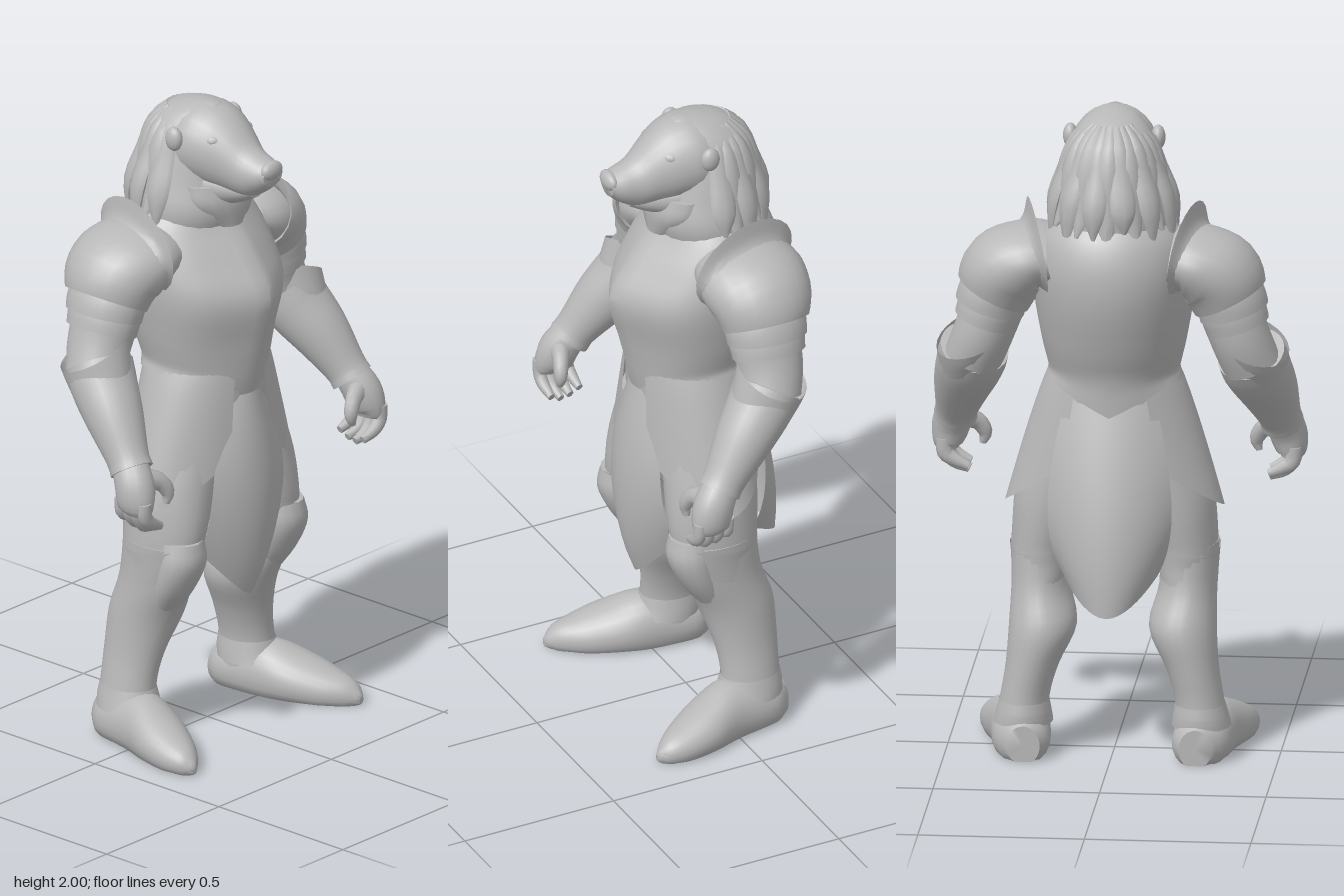
import * as THREE from 'three';
import { mergeVertices, toCreasedNormals } from 'three/addons/utils/BufferGeometryUtils.js';

const V = (x, y, z) => new THREE.Vector3(x, y, z);
const UP = V(0, 1, 0), DOWN = V(0, -1, 0), FWD = V(0, 0, 1);

// Grid surface from fn(i, j) -> Vector3, smooth with creases
function grid(rows, cols, fn, crease = 0.9) {
  const pos = [], idx = [];
  for (let i = 0; i <= rows; i++)
    for (let j = 0; j <= cols; j++) pos.push(...fn(i, j).toArray());
  for (let i = 0; i < rows; i++)
    for (let j = 0; j < cols; j++) {
      const a = i * (cols + 1) + j, b = a + cols + 1;
      idx.push(a, b, a + 1, a + 1, b, b + 1);
    }
  const g = new THREE.BufferGeometry();
  g.setAttribute('position', new THREE.Float32BufferAttribute(pos, 3));
  g.setIndex(idx);
  return toCreasedNormals(mergeVertices(g, 1e-5), crease);
}

// Tube through sections [x, y, z, halfWidth, halfDepth]; dir fixes the ring plane
function loft(secs, { dir = null, ref = FWD, n = 24, cap = true, sub = 4, warp = null } = {}) {
  const mid = new THREE.CatmullRomCurve3(secs.map(s => V(s[0], s[1], s[2])), false, 'catmullrom');
  const rad = new THREE.CatmullRomCurve3(secs.map(s => V(s[3], s[4], 0)), false, 'catmullrom');
  const steps = (secs.length - 1) * sub, extra = cap ? 1 : 0;
  return grid(steps + 2 * extra, n, (i, j) => {
    const k = THREE.MathUtils.clamp(i - extra, 0, steps), s = k / steps;
    const c = mid.getPoint(s), r = rad.getPoint(s);
    const t = dir ? dir.clone() : mid.getTangent(s);
    const u = t.clone().cross(ref).normalize(), v = u.clone().cross(t).normalize();
    const f = cap && (i === 0 || i === steps + 2) ? 0 : 1;
    const a = ((j % n) / n) * Math.PI * 2;
    const p = c.addScaledVector(u, f * r.x * Math.cos(a)).addScaledVector(v, f * r.y * Math.sin(a));
    return warp ? warp(p, s, a) : p;
  });
}

export function createModel() {
  const model = new THREE.Group();
  model.name = 'armouredBear';
  const grey = new THREE.MeshStandardMaterial({ color: 0xb8b8b8, side: THREE.DoubleSide });
  grey.name = 'stone grey';
  const add = (name, geo, parent = model) => {
    const m = new THREE.Mesh(geo, grey);
    m.name = name;
    parent.add(m);
  };
  const ball = (name, p, s, parent) => {
    const g = new THREE.SphereGeometry(1, 16, 12).scale(...s).translate(...p);
    add(name, g, parent);
  };

  // Breastplate with a keeled front and pointed lower edge, and the hips beneath it
  add('breastplate', loft([
    [0, 1.12, -0.01, 0.205, 0.182], [0, 1.19, 0, 0.198, 0.2], [0, 1.28, -0.005, 0.217, 0.23],
    [0, 1.42, -0.01, 0.24, 0.266], [0, 1.53, -0.045, 0.24, 0.238], [0, 1.62, -0.07, 0.215, 0.19],
    [0, 1.69, -0.075, 0.16, 0.14]], {
    dir: UP, n: 36, warp: (p, s, a) => {
      const low = Math.max(0, 1 - s * 5);
      p.y += low * (0.09 * Math.min(1, Math.abs(p.x) / 0.18) - 0.045);
      if (p.z > 0) p.z -= 0.03 * Math.sin(Math.PI * Math.abs(Math.cos(a))) * Math.sin(Math.PI * s);
      return p;
    }
  }));
  add('hips', loft([[0, 1.22, 0, 0.185, 0.18], [0, 1.1, 0, 0.2, 0.174], [0, 0.98, 0, 0.22, 0.165],
    [0, 0.88, 0, 0.225, 0.15], [0, 0.76, 0, 0.14, 0.1]], { dir: DOWN }));

  // Hanging cloth, front and back
  add('frontCloth', grid(14, 12, (i, j) => {
    const t = i / 14, s = j / 6 - 1, a = Math.abs(s);
    return V(s * (0.1 + 0.062 * Math.sin(t * 2)), 1.1 - t * (0.655 - 0.16 * a ** 1.3),
      0.18 + 0.045 * Math.sin(t * 2.9) - 0.02 * t ** 8 - 0.06 * s * s);
  }));
  add('backCloth', grid(14, 16, (i, j) => {
    const t = i / 14, s = 1 - j / 8, a = Math.abs(s);
    return V(s * (0.13 + 0.06 * Math.sin(t * 2.2) - 0.035 * t ** 6), 1.14 - t * (0.66 - 0.1 * a ** 1.8),
      -0.16 - 0.13 * Math.sin(t * 1.65) + (0.03 + 0.11 * t) * s * s);
  }));

  // Head, muzzle, jaw and mane
  const head = new THREE.Group();
  head.name = 'head';
  model.add(head);
  add('skull', loft([[0, 1.85, -0.15, 0.09, 0.09], [0, 1.868, -0.02, 0.13, 0.127], [0, 1.862, 0.06, 0.118, 0.125],
    [0, 1.843, 0.12, 0.093, 0.108], [0, 1.815, 0.18, 0.07, 0.08], [0, 1.816, 0.23, 0.058, 0.056],
    [0, 1.825, 0.265, 0.042, 0.036]], { dir: FWD, ref: UP }), head);
  add('lowerJaw', loft([[0, 1.75, 0.03, 0.11, 0.085], [0, 1.752, 0.1, 0.08, 0.062], [0, 1.752, 0.155, 0.053, 0.04],
    [0, 1.76, 0.2, 0.032, 0.024]], { dir: FWD, ref: UP }), head);
  ball('nose', [0, 1.838, 0.258], [0.044, 0.03, 0.022], head);
  add('mane', loft([[0, 1.57, -0.07, 0.17, 0.15], [0, 1.67, -0.06, 0.184, 0.175], [0, 1.76, -0.07, 0.168, 0.165],
    [0, 1.86, -0.075, 0.146, 0.142], [0, 1.93, -0.06, 0.117, 0.123], [0, 1.975, -0.03, 0.074, 0.09],
    [0, 1.996, 0, 0.025, 0.04]], { dir: UP, n: 28 }), head);
  // Long tapering locks of fur swept from the crown down the sides and back
  for (let k = 0; k < 15; k++) {
    const a = Math.PI * (0.95 + 1.1 * k / 14), c = Math.cos(a), s = Math.sin(a);
    const end = 1.63 + 0.035 * Math.sin(k * 2.4), low = 0.012 * Math.cos(k * 3.1);
    const at = (y, rx, rz, w, d) => [rx * c + low * s * (2 - y), y, -0.065 + rz * s, w, d];
    add('furLock', loft([at(1.965, 0.066, 0.07, 0.012, 0.008), at(1.91, 0.118, 0.12, 0.026, 0.014),
      at(1.83, 0.148, 0.148, 0.034, 0.016), at(1.73, 0.172 + low, 0.168 + low, 0.037, 0.018),
      at(end, 0.194, 0.182, 0.006, 0.005)], { n: 8, sub: 3, ref: V(c, 0, s) }), head);
  }
  add('beard', loft([[0, 1.76, 0.03, 0.13, 0.085], [0, 1.7, 0.045, 0.125, 0.085], [0, 1.625, 0.06, 0.06, 0.065]],
    { dir: DOWN, n: 16 }), head);

  for (const m of [1, -1]) {
    const side = new THREE.Group();
    side.name = m > 0 ? 'leftSide' : 'rightSide';
    model.add(side);
    const limb = (name, secs, o) =>
      add(name, loft(secs.map(([x, ...r]) => [x * m, ...r]), o), side);

    // Ear, brow and eye
    ball('ear', [m * 0.132, 1.905, -0.015], [0.022, 0.038, 0.03], side);
    ball('brow', [m * 0.058, 1.91, 0.085], [0.038, 0.022, 0.03], side);
    ball('eye', [m * 0.072, 1.88, 0.112], [0.011, 0.011, 0.011], side);

    // Shoulder armour: slanted flared collar, dome and lower plates
    limb('shoulderCollar', [[0.28, 1.54, -0.08, 0.09, 0.15], [0.245, 1.56, -0.08, 0.105, 0.165],
      [0.225, 1.575, -0.08, 0.15, 0.185]], { cap: false, dir: V(-m, 0.16, 0.22).normalize() });
    limb('shoulderDome', [[0.18, 1.56, -0.085, 0.085, 0.15], [0.25, 1.55, -0.085, 0.105, 0.17],
      [0.32, 1.505, -0.088, 0.128, 0.16], [0.355, 1.435, -0.088, 0.118, 0.135]], { cap: false });
    limb('shoulderPlate', [[0.33, 1.47, -0.085, 0.1, 0.125], [0.355, 1.43, -0.085, 0.106, 0.128],
      [0.367, 1.39, -0.085, 0.106, 0.124]], { cap: false });
    limb('shoulderLowerPlate', [[0.345, 1.43, -0.085, 0.095, 0.115], [0.365, 1.385, -0.085, 0.099, 0.118],
      [0.378, 1.345, -0.085, 0.097, 0.114]], { cap: false });

    // Arm, bracer and slanted cuff
    limb('upperArm', [[0.29, 1.53, -0.08, 0.1, 0.12], [0.345, 1.42, -0.08, 0.095, 0.11],
      [0.385, 1.31, -0.085, 0.09, 0.102], [0.42, 1.22, -0.07, 0.088, 0.092]]);
    limb('bracer', [[0.415, 1.25, -0.06, 0.104, 0.102], [0.43, 1.2, -0.028, 0.104, 0.1],
      [0.457, 1.12, 0.04, 0.09, 0.088], [0.483, 1.02, 0.115, 0.066, 0.066], [0.49, 0.985, 0.14, 0.066, 0.066]]);
    limb('bracerCuff', [[0.43, 1.21, -0.035, 0.1, 0.101], [0.424, 1.26, -0.06, 0.109, 0.112],
      [0.42, 1.295, -0.075, 0.116, 0.117]], { cap: false, dir: V(m * 0.38, 1, -0.4).normalize() });

    // Hand with curled fingers and thumb
    limb('palm', [[0.488, 1.01, 0.125, 0.052, 0.055], [0.505, 0.95, 0.165, 0.058, 0.062],
      [0.515, 0.895, 0.178, 0.048, 0.062], [0.512, 0.87, 0.178, 0.03, 0.052]], { n: 16 });
    for (let k = 0; k < 4; k++) {
      const z = 0.13 + k * 0.031, drop = [0.02, 0.005, 0, 0.012][k];
      limb('finger', [[0.525, 0.91, z, 0.024, 0.019], [0.522, 0.865, z, 0.024, 0.019],
        [0.495, 0.825 + drop, z, 0.021, 0.018], [0.45, 0.805 + drop, z - 0.004, 0.013, 0.011]], { n: 10, sub: 3 });
    }
    limb('thumb', [[0.48, 0.965, 0.175, 0.036, 0.032], [0.432, 0.948, 0.198, 0.028, 0.024],
      [0.408, 0.91, 0.21, 0.022, 0.02], [0.415, 0.875, 0.21, 0.01, 0.01]], { n: 10, sub: 3 });

    // Side skirt plate, pointed at the bottom
    add('skirtPlate', grid(10, 16, (i, j) => {
      const t = i / 10, s = j / 8 - 1, a = 0.1 + s * 1.15;
      const y = 1.2 - t * (0.44 - 0.15 * Math.abs(s) ** 1.6), f = (1.2 - y) / 0.44;
      return V(m * (0.19 + 0.14 * f ** 0.85) * Math.cos(a), y, (0.178 + 0.015 * f) * Math.sin(a));
    }), side);

    // Leg, knee guard, greave and foot
    limb('thigh', [[0.13, 0.98, 0, 0.11, 0.14], [0.18, 0.8, 0.01, 0.118, 0.145], [0.21, 0.67, 0.015, 0.1, 0.14],
      [0.22, 0.56, 0, 0.09, 0.12]]);
    limb('greave', [[0.22, 0.65, 0.02, 0.093, 0.135], [0.222, 0.52, -0.005, 0.087, 0.126],
      [0.21, 0.4, -0.055, 0.102, 0.12], [0.24, 0.28, -0.075, 0.08, 0.1], [0.262, 0.18, -0.08, 0.074, 0.092],
      [0.27, 0.08, -0.08, 0.083, 0.1]], { dir: DOWN });
    limb('greaveCuff', [[0.223, 0.54, 0, 0.088, 0.128], [0.218, 0.6, 0.015, 0.096, 0.138],
      [0.215, 0.65, 0.02, 0.103, 0.146]], { cap: false, dir: V(m * 0.2, 1, -0.15).normalize() });
    limb('kneeGuard', [[0.222, 0.67, 0.09, 0.07, 0.075], [0.225, 0.6, 0.1, 0.08, 0.072],
      [0.226, 0.51, 0.07, 0.072, 0.062], [0.222, 0.4, 0.005, 0.045, 0.045]], { n: 16, dir: DOWN });
    limb('ankleCuff', [[0.268, 0.1, -0.07, 0.09, 0.108], [0.266, 0.13, -0.077, 0.084, 0.102],
      [0.264, 0.17, -0.08, 0.075, 0.093]], { cap: false, dir: UP });
    limb('foot', [[0.258, 0.05, -0.188, 0.05, 0.06], [0.268, 0.055, -0.13, 0.085, 0.085],
      [0.285, 0.06, 0, 0.092, 0.105], [0.315, 0.05, 0.1, 0.097, 0.083], [0.343, 0.035, 0.19, 0.076, 0.062],
      [0.362, 0.028, 0.25, 0.045, 0.042], [0.37, 0.02, 0.285, 0.01, 0.014]], {
      dir: FWD, ref: UP, warp: p => { p.y = Math.max(0, p.y); return p; }
    });
  }
  return model;
}
